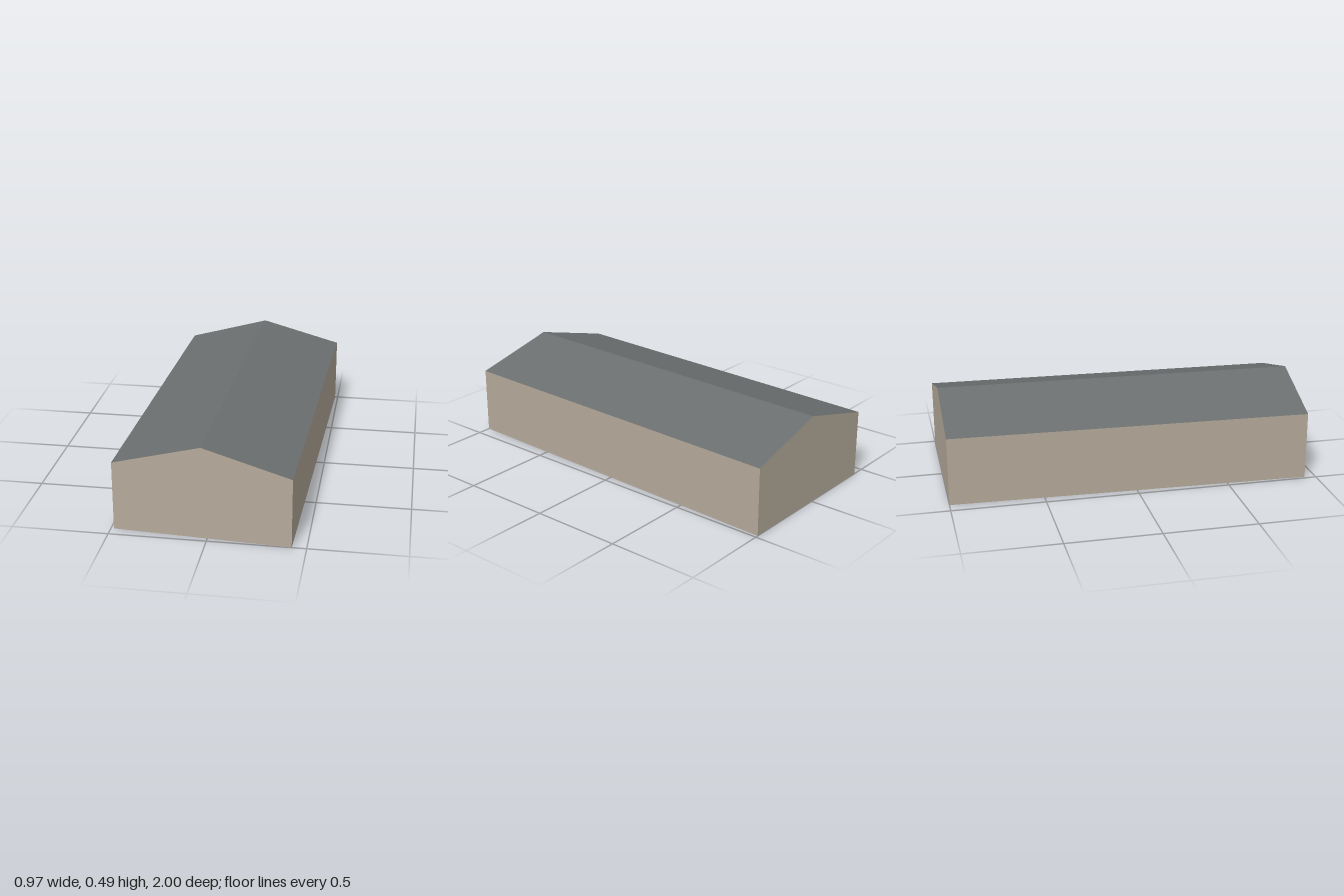
import * as THREE from 'three';

const EAVE = 0.368, RIDGE = 0.493;

// Flat-sided surface from polygons (corners anticlockwise seen from outside)
function panels(name, material, polygons) {
  const positions = [];
  for (const p of polygons) {
    for (let i = 1; i < p.length - 1; i++) positions.push(...p[0], ...p[i], ...p[i + 1]);
  }
  const geometry = new THREE.BufferGeometry();
  geometry.setAttribute('position', new THREE.Float32BufferAttribute(positions, 3));
  geometry.computeVertexNormals();
  const mesh = new THREE.Mesh(geometry, material);
  mesh.name = name;
  return mesh;
}

// Gable outline across one end: base, eave, ridge, eave, base
function gable([x0, z0], [x1, z1]) {
  const xm = (x0 + x1) / 2, zm = (z0 + z1) / 2;
  return [[x0, 0, z0], [x0, EAVE, z0], [xm, RIDGE, zm], [x1, EAVE, z1], [x1, 0, z1]];
}

export function createModel() {
  const wall = new THREE.MeshStandardMaterial({ color: 0xb5aa9a, side: THREE.DoubleSide });
  wall.name = 'beige wall';
  const roof = new THREE.MeshStandardMaterial({ color: 0x6b6f6f, side: THREE.DoubleSide });
  roof.name = 'grey roof';

  // Slightly skewed footprint, open underneath
  const front = gable([-0.485, 0.94], [0.426, 1]);
  const back = gable([-0.428, -1], [0.484, -1]);

  // Strip between the two ends, along outline edge i
  const strip = (i) => [front[i], front[i + 1], back[i + 1], back[i]];

  const group = new THREE.Group();
  group.name = 'gabledBuilding';
  group.add(
    panels('frontGable', wall, [[...front].reverse()]),
    panels('backGable', wall, [back]),
    panels('rightWall', wall, [strip(0)]),
    panels('leftWall', wall, [strip(3)]),
    panels('roof', roof, [strip(1), strip(2)]),
  );
  return group;
}
